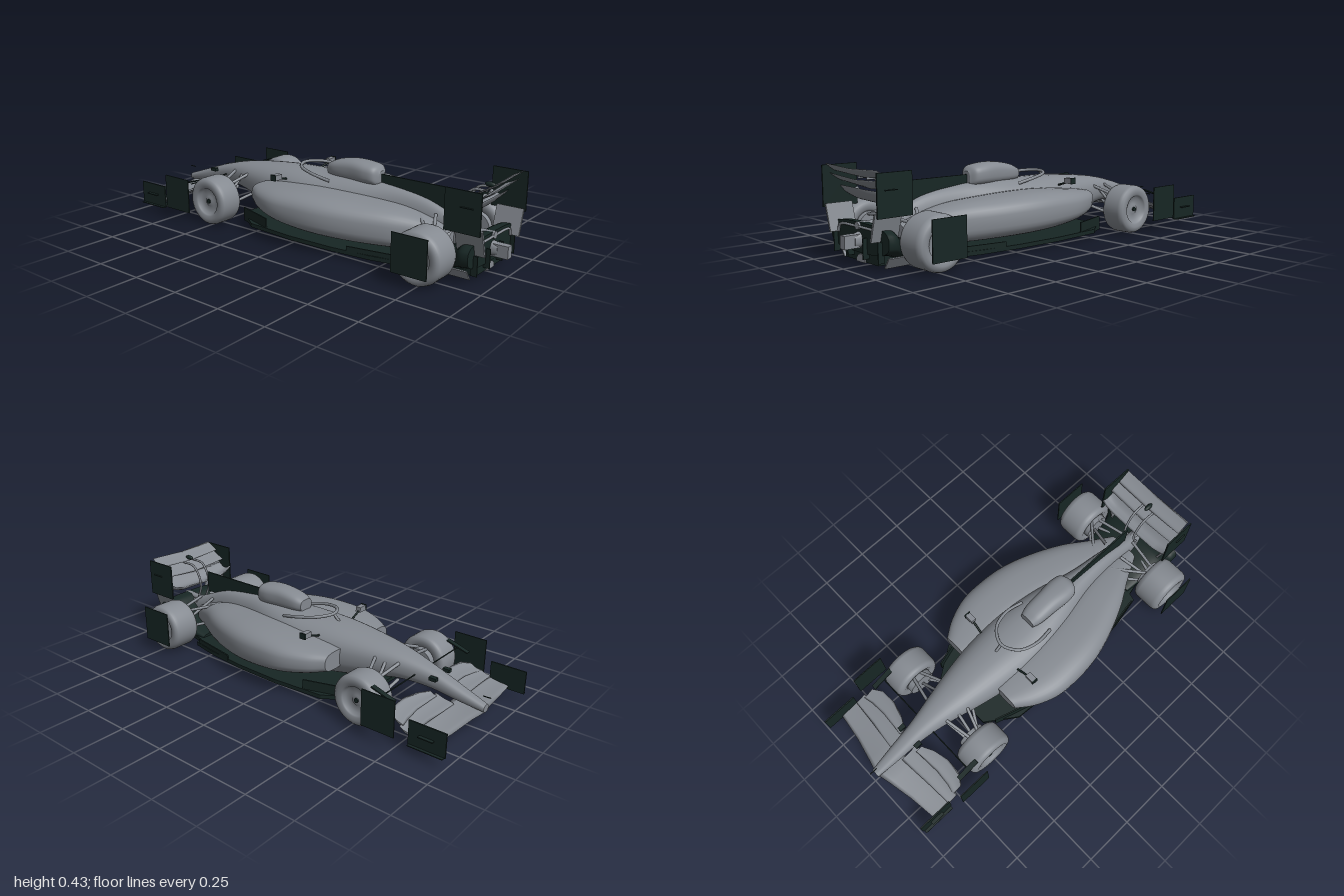
import * as THREE from 'three';

const V = (x, y, z) => new THREE.Vector3(x, y, z);

// Closed skin through equal-length rings, with flat end caps
function skin(rings) {
  const pos = [], idx = [], n = rings[0].length;
  rings.forEach(r => r.forEach(p => pos.push(p.x, p.y, p.z)));
  for (let i = 0; i < rings.length - 1; i++) {
    for (let j = 0; j < n; j++) {
      const a = i * n + j, b = i * n + (j + 1) % n;
      idx.push(a, b, b + n, a, b + n, a + n);
    }
  }
  [rings[0], rings[rings.length - 1]].forEach((r, end) => {
    const s = pos.length / 3, c = V(0, 0, 0);
    r.forEach(p => { pos.push(p.x, p.y, p.z); c.addScaledVector(p, 1 / n); });
    pos.push(c.x, c.y, c.z);
    for (let j = 0; j < n; j++) {
      const k = (j + 1) % n;
      if (end) idx.push(s + n, s + j, s + k);
      else idx.push(s + n, s + k, s + j);
    }
  });
  const g = new THREE.BufferGeometry();
  g.setAttribute('position', new THREE.Float32BufferAttribute(pos, 3));
  g.setIndex(idx);
  g.computeVertexNormals();
  return g;
}

// Body loft along z; rows are [z, centreX, halfWidth, yBottom, yTop]
function loft(rows, power = 2.4, steps = 48) {
  const a = new THREE.CatmullRomCurve3(rows.map(r => V(r[1], r[2], r[0])));
  const b = new THREE.CatmullRomCurve3(rows.map(r => V(r[3], r[4], r[0])));
  const e = 2 / power, rings = [];
  for (let i = 0; i <= steps; i++) {
    const p = a.getPoint(i / steps), q = b.getPoint(i / steps), ring = [];
    for (let j = 0; j < 36; j++) {
      const t = j / 36 * Math.PI * 2, c = Math.cos(t), s = Math.sin(t);
      ring.push(V(p.x + p.y * Math.sign(c) * Math.abs(c) ** e,
        (q.x + q.y) / 2 + (q.y - q.x) / 2 * Math.sign(s) * Math.abs(s) ** e, p.z));
    }
    rings.push(ring);
  }
  return skin(rings);
}

// Cambered wing along x; rows are [x, zLead, yLead, zTrail, yTrail]
function wing(rows, camber, thick = 0.007) {
  const N = 8;
  return skin(rows.map(([x, z0, y0, z1, y1]) => {
    const ring = [];
    for (let k = 0; k < 2 * N; k++) {
      const top = k < N, t = top ? k / N : 2 - k / N;
      const h = thick * (top ? 1 : -1) * Math.sin(Math.PI * Math.sqrt(t)) * 0.6;
      ring.push(V(x, y0 + (y1 - y0) * t - camber * Math.sin(Math.PI * t) + h, z0 + (z1 - z0) * t));
    }
    return ring;
  }));
}
const flip = rows => rows.map(([x, ...r]) => [-x, ...r]).reverse();
const across = rows => [...flip(rows.slice(1)), ...rows];

// Horizontal slab from a half outline of [x, z]
function slab(half, yTop, depth) {
  const pts = [...half, ...half.map(([x, z]) => [-x, z]).reverse()];
  const shape = new THREE.Shape(pts.map(p => new THREE.Vector2(p[0], p[1])));
  return new THREE.ExtrudeGeometry(shape, { depth, bevelEnabled: false })
    .rotateX(Math.PI / 2).translate(0, yTop, 0);
}

export function createModel() {
  const root = new THREE.Group();
  const grey = new THREE.MeshStandardMaterial({ color: 0x858a91 });
  grey.name = 'body grey';
  const dark = new THREE.MeshStandardMaterial({ color: 0x172624 });
  dark.name = 'dark carbon';

  const add = (name, geo, mat = grey) => {
    const m = new THREE.Mesh(geo, mat);
    m.name = name;
    root.add(m);
    return m;
  };
  const box = (name, x, y, z, w, h, d, mat = grey) => {
    const m = add(name, new THREE.BoxGeometry(w, h, d), mat);
    m.position.set(x, y, z);
    return m;
  };
  const tube = (name, pts, r, mat = grey) => add(name, new THREE.TubeGeometry(
    new THREE.CatmullRomCurve3(pts.map(p => V(...p))), pts.length > 2 ? 32 : 1, r, 8), mat);

  // Central body: nose, tub, engine cover and tail
  add('body', loft([
    [-0.975, 0, 0.022, 0.095, 0.13], [-0.85, 0, 0.036, 0.11, 0.174],
    [-0.7, 0, 0.05, 0.13, 0.226], [-0.55, 0, 0.08, 0.13, 0.264],
    [-0.4, 0, 0.115, 0.1, 0.286], [-0.2, 0, 0.15, 0.06, 0.303],
    [0, 0, 0.165, 0.04, 0.306], [0.2, 0, 0.13, 0.04, 0.312],
    [0.4, 0, 0.075, 0.04, 0.3], [0.6, 0, 0.05, 0.05, 0.27],
    [0.78, 0, 0.04, 0.07, 0.2], [0.9, 0, 0.03, 0.08, 0.155], [0.95, 0, 0.022, 0.085, 0.14],
  ], 2.4, 72));
  add('airbox', loft([
    [0.04, 0, 0.042, 0.3, 0.36], [0.08, 0, 0.054, 0.295, 0.378], [0.18, 0, 0.061, 0.29, 0.396],
    [0.27, 0, 0.066, 0.29, 0.392], [0.315, 0, 0.055, 0.29, 0.382], [0.335, 0, 0.025, 0.29, 0.36],
  ], 2.7));
  box('engineFin', 0, 0.29, 0.53, 0.008, 0.11, 0.43, dark);
  box('crashStructure', 0, 0.112, 0.96, 0.036, 0.058, 0.08);
  const exhaust = add('exhaust', new THREE.CylinderGeometry(0.017, 0.017, 0.14, 20));
  exhaust.rotation.x = Math.PI / 2;
  exhaust.position.set(0, 0.175, 0.86);

  // Halo and thin sensor probe
  tube('halo', [[-0.1, 0.29, 0.1], [-0.11, 0.312, 0], [-0.08, 0.325, -0.09], [0, 0.33, -0.135],
    [0.08, 0.325, -0.09], [0.11, 0.312, 0], [0.1, 0.29, 0.1]], 0.008);
  tube('haloStrut', [[0, 0.33, -0.135], [0, 0.29, -0.18]], 0.007);
  tube('noseProbe', [[0, 0.167, -0.955], [0, 0.168, -0.995]], 0.0025, dark);
  tube('noseCrossbar', [[-0.32, 0.19, -0.645], [0.32, 0.19, -0.645]], 0.003, dark);

  // Floor, plank and diffuser
  add('floor', slab([[0.16, -0.42], [0.265, -0.27], [0.285, 0], [0.28, 0.25], [0.26, 0.45],
    [0.228, 0.61], [0.19, 0.62], [0.13, 0.87]], 0.042, 0.02), dark);
  add('plank', slab([[0.04, -0.33], [0.125, -0.12], [0.13, 0.4], [0.05, 0.72]], 0.023, 0.01));
  add('diffuser', loft([
    [0.62, 0, 0.17, 0.022, 0.06], [0.74, 0, 0.185, 0.025, 0.1],
    [0.83, 0, 0.195, 0.04, 0.15], [0.875, 0, 0.225, 0.055, 0.185], [0.92, 0, 0.228, 0.06, 0.19],
  ], 3.0, 20), dark);
  box('diffuserLower', 0, 0.05, 0.84, 0.26, 0.06, 0.14, dark);
  add('diffuserArch', new THREE.CylinderGeometry(0.035, 0.035, 0.14, 24, 1, false, Math.PI / 2, Math.PI)
    .rotateX(Math.PI / 2)).position.set(0, 0.017, 0.845);
  tube('beamWing', [[-0.16, 0.13, 0.925], [-0.145, 0.162, 0.925], [-0.03, 0.172, 0.925],
    [0.03, 0.172, 0.925], [0.145, 0.162, 0.925], [0.16, 0.13, 0.925]], 0.006);

  // Rear wing elements and actuator
  add('rearMainPlane', wing(across([[0, 0.79, 0.275, 0.88, 0.322], [0.14, 0.79, 0.278, 0.88, 0.324],
    [0.185, 0.79, 0.292, 0.88, 0.324], [0.212, 0.79, 0.31, 0.88, 0.322]]), 0.028, 0.012));
  add('rearMiddleFlap', wing(across([[0, 0.85, 0.325, 0.93, 0.37], [0.212, 0.85, 0.34, 0.93, 0.382]]), 0.004));
  add('rearUpperFlap', wing(across([[0, 0.89, 0.378, 0.955, 0.418], [0.204, 0.89, 0.388, 0.955, 0.427]]), 0.004));
  const actuator = add('wingActuator', new THREE.SphereGeometry(0.012, 16, 12), dark);
  actuator.position.set(0, 0.395, 0.89);
  actuator.scale.z = 2.2;

  // Front wing main plane
  add('frontMainPlane', wing(across([[0, -0.975, 0.095, -0.81, 0.1], [0.08, -0.955, 0.085, -0.815, 0.095],
    [0.2, -0.93, 0.06, -0.81, 0.085], [0.35, -0.91, 0.055, -0.805, 0.075]]), 0.006, 0.009));

  // Tyre with a recessed rim and hub nut, turned about the axle
  const wheel = (name, x, z, w) => {
    const h = w / 2, R = 0.123;
    const side = [[0, 0.7], [0.025, 0.7], [0.032, 0.6], [0.062, 0.66], [0.07, 0.9], [0.078, 0.93],
      [0.092, 1], [0.108, 0.95], [0.118, 0.82], [R, 0.6]];
    const pts = [...side.map(([r, a]) => [r, -a]), ...side.slice().reverse()]
      .map(([r, a]) => new THREE.Vector2(r, a * h));
    const m = add(name, new THREE.LatheGeometry(pts, 56).rotateZ(Math.PI / 2));
    m.position.set(x, R, z);
    const nut = add(name + 'Nut', new THREE.CylinderGeometry(0.011, 0.011, w * 0.8, 16), dark);
    nut.rotation.z = Math.PI / 2;
    nut.position.copy(m.position);
  };

  for (const s of [-1, 1]) {
    const p = s > 0 ? 'left' : 'right';
    const mir = rows => (s > 0 ? rows : flip(rows));

    add(p + 'Sidepod', loft([
      [-0.28, 0.17, 0.075, 0.145, 0.236], [-0.2, 0.18, 0.12, 0.125, 0.248], [-0.08, 0.2, 0.145, 0.105, 0.261],
      [0.06, 0.2, 0.152, 0.088, 0.269], [0.2, 0.185, 0.152, 0.078, 0.267], [0.35, 0.15, 0.142, 0.07, 0.256],
      [0.5, 0.11, 0.115, 0.065, 0.24], [0.62, 0.075, 0.078, 0.065, 0.212], [0.75, 0.045, 0.04, 0.08, 0.165],
    ].map(([z, x, ...r]) => [z, x * s, ...r]), 2.8));
    wheel(p + 'FrontWheel', s * 0.268, -0.515, 0.134);
    wheel(p + 'RearWheel', s * 0.277, 0.74, 0.156);

    // Upright dark plates
    box(p + 'FrontWheelPlate', s * 0.385, 0.148, -0.675, 0.005, 0.175, 0.17, dark);
    box(p + 'RearWheelPlate', s * 0.385, 0.148, 0.735, 0.005, 0.18, 0.175, dark);
    box(p + 'FrontEndplate', s * 0.352, 0.097, -0.9, 0.007, 0.115, 0.18, dark);
    box(p + 'EndplateTab', s * 0.362, 0.1, -0.9, 0.02, 0.005, 0.07, dark);
    box(p + 'EndplateFoot', s * 0.362, 0.04, -0.9, 0.016, 0.004, 0.17, dark);
    box(p + 'RearEndplate', s * 0.215, 0.325, 0.88, 0.007, 0.185, 0.17, dark);
    box(p + 'RearEndplateTab', s * 0.22, 0.346, 0.9, 0.01, 0.004, 0.06, dark);
    box(p + 'RearLowerEndplate', s * 0.178, 0.19, 0.9, 0.01, 0.125, 0.13).rotation.z = -s * 0.28;
    box(p + 'Bargeboard', s * 0.235, 0.055, -0.27, 0.007, 0.07, 0.22, dark).rotation.y = s * 0.3;
    box(p + 'FloorEdge', s * 0.25, 0.05, 0.46, 0.007, 0.03, 0.26, dark).rotation.y = -s * 0.17;
    box(p + 'WheelDeflector', s * 0.31, 0.2, -0.65, 0.025, 0.006, 0.12, dark).rotation.x = -0.3;
    box(p + 'DiffuserFence', s * 0.175, 0.036, 0.83, 0.006, 0.056, 0.14).rotation.z = -s * 0.6;
    [0.06, 0.175].forEach(x => box(p + 'DiffuserStrake', s * x, 0.085, 0.925, 0.005, 0.09, 0.03, dark));

    // Front wing flaps
    add(p + 'LowerFlap', wing(mir([[0.035, -0.84, 0.1, -0.745, 0.125], [0.2, -0.825, 0.09, -0.74, 0.115],
      [0.345, -0.815, 0.08, -0.76, 0.1]]), 0.006));
    add(p + 'UpperFlap', wing(mir([[0.06, -0.765, 0.125, -0.73, 0.14], [0.12, -0.76, 0.12, -0.7, 0.145],
      [0.2, -0.755, 0.115, -0.68, 0.145], [0.28, -0.76, 0.105, -0.685, 0.14], [0.33, -0.77, 0.1, -0.715, 0.125]]), 0.006));

    // Mirrors and nose camera
    box(p + 'MirrorShell', s * 0.212, 0.293, -0.14, 0.044, 0.026, 0.028);
    box(p + 'MirrorCap', s * 0.237, 0.294, -0.14, 0.006, 0.03, 0.032, dark);
    tube(p + 'MirrorStay', [[s * 0.2, 0.285, -0.14], [s * 0.13, 0.265, -0.15]], 0.005, dark);
    box(p + 'NoseCamera', s * 0.058, 0.2, -0.74, 0.022, 0.016, 0.035, dark);

    // Rear wing pylons
    tube(p + 'Pylon', [[s * 0.03, 0.15, 0.82], [s * 0.03, 0.27, 0.775], [s * 0.032, 0.365, 0.82],
      [s * 0.034, 0.375, 0.9]], 0.006);

    // Suspension: [inner point, outer point]
    [
      [[0.07, 0.225, -0.565], [0.21, 0.185, -0.535]], [[0.09, 0.23, -0.45], [0.21, 0.185, -0.49]],
      [[0.06, 0.14, -0.56], [0.21, 0.08, -0.535]], [[0.09, 0.13, -0.42], [0.21, 0.08, -0.49]],
      [[0.08, 0.22, -0.5], [0.21, 0.09, -0.515]],
      [[0.06, 0.215, 0.58], [0.22, 0.18, 0.73]], [[0.03, 0.2, 0.78], [0.22, 0.18, 0.75]],
      [[0.09, 0.12, 0.6], [0.22, 0.09, 0.73]], [[0.03, 0.12, 0.8], [0.22, 0.09, 0.75]],
      [[0.05, 0.225, 0.66], [0.22, 0.1, 0.74]],
    ].forEach(([a, b]) => tube(p + 'SuspensionArm', [[a[0] * s, a[1], a[2]], [b[0] * s, b[1], b[2]]], 0.008));
    [[-0.515, 0.2], [0.74, 0.205]].forEach(([z, x]) => {
      const drum = add(p + 'BrakeDrum', new THREE.CylinderGeometry(0.068, 0.068, 0.045, 28));
      drum.rotation.z = Math.PI / 2;
      drum.position.set(s * x, 0.123, z);
    });
  }
  return root;
}
